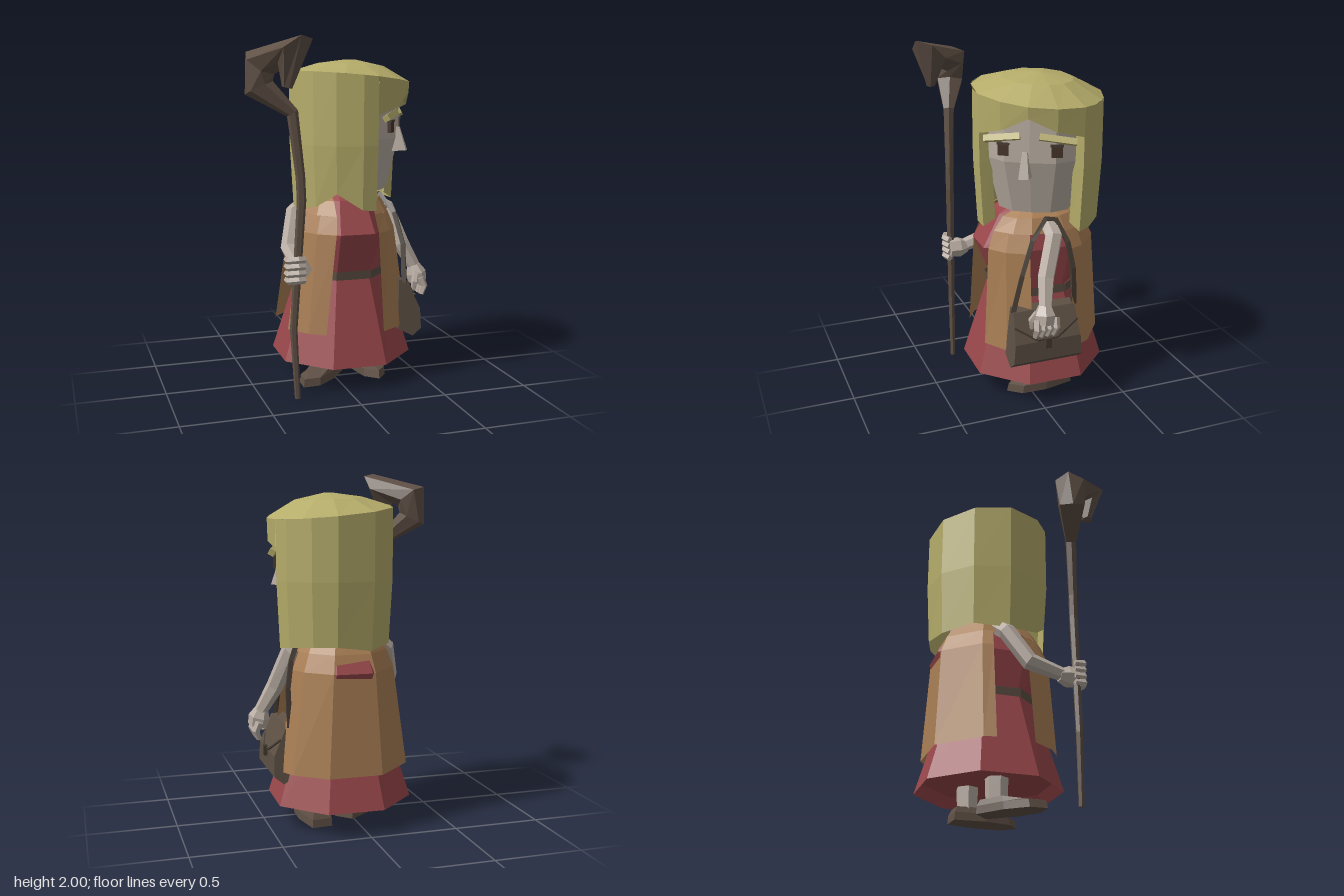
import * as THREE from 'three';

const mat = (name, color) => {
  const m = new THREE.MeshStandardMaterial({ color, side: THREE.DoubleSide });
  m.name = name;
  return m;
};
const rad = THREE.MathUtils.degToRad;
const V = (x, y, z) => new THREE.Vector3(x, y, z);

// faceted surface through cross-sections, with optional end caps
function loft(rings, { closed = true, capStart = false, capEnd = false } = {}) {
  const pos = [];
  const tri = (...pts) => pts.forEach(p => pos.push(p.x, p.y, p.z));
  const n = rings[0].length;
  for (let r = 0; r + 1 < rings.length; r++) {
    const a = rings[r], b = rings[r + 1];
    for (let i = 0; i < (closed ? n : n - 1); i++) {
      const j = (i + 1) % n;
      tri(a[i], a[j], b[j]);
      tri(a[i], b[j], b[i]);
    }
  }
  const cap = (ring, flip) => {
    const c = ring.reduce((s, p) => s.add(p), V(0, 0, 0)).divideScalar(n);
    ring.forEach((p, i) => {
      const q = ring[(i + 1) % n];
      flip ? tri(q, p, c) : tri(p, q, c);
    });
  };
  if (capStart) cap(rings[0], true);
  if (capEnd) cap(rings[rings.length - 1], false);
  const g = new THREE.BufferGeometry();
  g.setAttribute('position', new THREE.Float32BufferAttribute(pos, 3));
  g.computeVertexNormals();
  return g;
}

// tapered limb along [x, y, z, radius] points
function sweep(path, sides = 6) {
  const p = path.map(q => V(q[0], q[1], q[2]));
  let u = V(0.3, 0, 1);
  const rings = path.map((q, k) => {
    const t = V(0, 0, 0);
    if (k > 0) t.add(p[k].clone().sub(p[k - 1]).normalize());
    if (k + 1 < p.length) t.add(p[k + 1].clone().sub(p[k]).normalize());
    t.normalize();
    u = u.clone().addScaledVector(t, -u.dot(t)).normalize();
    const v = t.clone().cross(u);
    return Array.from({ length: sides }, (_, i) => {
      const a = (i / sides) * Math.PI * 2;
      return p[k].clone().addScaledVector(u, q[3] * Math.cos(a)).addScaledVector(v, q[3] * Math.sin(a));
    });
  });
  return loft(rings, { capStart: true, capEnd: true });
}

// point on an ellipse around the body axis; 0 degrees is the front
const around = (deg, y, rx, rz = rx) => V(0.07 + rx * Math.sin(rad(deg)), y, -0.09 + rz * Math.cos(rad(deg)));
const octagon = (y, rx, rz) => Array.from({ length: 8 }, (_, i) => around(21.5 + i * 45, y, rx, rz));

export function createModel() {
  const skin = mat('skin', 0xb8aca2), blond = mat('blond hair', 0xb5ac6a), red = mat('red cloth', 0x98464a);
  const tan = mat('tan cloth', 0xa97e54), wood = mat('wood', 0x5f5045), leather = mat('leather', 0x5d5044);
  const dark = mat('dark leather', 0x463c33), eyeMat = mat('eye brown', 0x46342a);

  const model = new THREE.Group();
  const add = (name, geo, material, parent = model) => {
    const m = new THREE.Mesh(geo, material);
    m.name = name;
    parent.add(m);
    return m;
  };
  const box = (name, size, at, material, parent, rot = [0, 0, 0]) => {
    const m = add(name, new THREE.BoxGeometry(...size), material, parent);
    m.position.set(...at);
    m.rotation.set(...rot);
    return m;
  };

  // dress with recessed underside, and belt
  add('skirt', loft([octagon(0.2, 0.37, 0.37), octagon(0.14, 0.415, 0.415), octagon(0.65, 0.25, 0.26)],
    { capStart: true }), red);
  add('bodice', loft([octagon(0.65, 0.24, 0.25), octagon(0.9, 0.265, 0.362), octagon(1.08, 0.2, 0.25), octagon(1.14, 0.12, 0.13)]), red);
  add('belt', loft([octagon(0.625, 0.27, 0.28), octagon(0.675, 0.27, 0.285)]), leather);
  const neck = add('neck', new THREE.CylinderGeometry(0.1, 0.1, 0.15, 8), skin);
  neck.position.set(0.09, 1.13, -0.09);

  // open coat: two front panels, a back and a shoulder yoke, with arm slits between
  const hem = [0.33, 0.395, 0.38], chest = [0.9, 0.31, 0.348], shoulder = [1.0, 0.27, 0.31];
  const strip = (angles, r) => angles.map(a => around(a, ...r));
  const open = { closed: false };
  add('coatFrontLeft', loft([strip([22, 45, 68], hem), strip([24, 45, 68], chest), strip([25, 45, 68], shoulder)], open), tan);
  add('coatFrontRight', loft([strip([-68, -45, -29], hem), strip([-68, -45, -24], chest), strip([-68, -45, -25], shoulder)], open), tan);
  const backAngles = [107, 125, 157.5, 202.5, 247.5, 258];
  add('coatBack', loft([hem, chest, shoulder].map(r => strip(backAngles, r)), open), tan);
  const yoke = a => [a, 45 + a / 5, 70, 107, 125, 157.5, 202.5, 247.5, 290, 315 - a / 5, 360 - a];
  add('coatYoke', loft([strip(yoke(25), shoulder), strip(yoke(30), [1.08, 0.225, 0.26]),
    strip(yoke(52), [1.14, 0.13, 0.14])], open), tan);

  // legs and shoes
  const outline = [[0, 0.29], [0.07, 0.22], [0.085, 0.08], [0.06, -0.09], [-0.06, -0.09], [-0.085, 0.08], [-0.07, 0.22]];
  for (const [side, x, z, yaw] of [['left', 0.22, -0.165, 4], ['right', -0.015, -0.07, -45]]) {
    const g = new THREE.Group();
    g.name = side + 'Foot';
    g.position.set(x, 0, z);
    g.rotation.y = rad(yaw);
    model.add(g);
    const ring = (y, k) => outline.map(([a, b]) => V(a * k, b > 0.2 ? Math.min(y, 0.055) : y, b * (k + 0.06)));
    add('shoe', loft([ring(0, 0.98), ring(0.045, 0.94), ring(0.08, 0.78)], { capStart: true, capEnd: true }), wood, g);
    add('leg', sweep([[0, 0.06, 0, 0.06], [0, 0.26, 0, 0.068]]), skin, g);
  }

  // arms and hands
  add('leftArm', sweep([[0.27, 1.04, -0.1, 0.05], [0.36, 0.99, -0.1, 0.052], [0.43, 0.78, -0.025, 0.05], [0.51, 0.63, 0.01, 0.038]]), skin);
  add('leftPalm', sweep([[0.5, 0.65, 0.01, 0.038], [0.515, 0.6, 0.015, 0.062], [0.525, 0.55, 0.02, 0.055]]), skin);
  for (let i = 0; i < 4; i++) {
    const z = -0.045 + i * 0.036;
    add('leftFinger', sweep([[0.525, 0.58, z, 0.024], [0.545, 0.53, z + 0.005, 0.024], [0.525, 0.48, z + 0.012, 0.016]], 5), skin);
  }
  add('leftThumb', sweep([[0.5, 0.61, 0.05, 0.022], [0.48, 0.56, 0.08, 0.02], [0.475, 0.51, 0.075, 0.014]], 5), skin);
  add('rightArm', sweep([[-0.14, 1.05, -0.1, 0.05], [-0.22, 0.99, -0.08, 0.05], [-0.28, 0.8, 0.03, 0.05], [-0.285, 0.74, 0.24, 0.038]]), skin);
  add('rightPalm', sweep([[-0.285, 0.74, 0.2, 0.038], [-0.28, 0.74, 0.25, 0.06], [-0.28, 0.74, 0.31, 0.055]]), skin);
  for (let i = 0; i < 4; i++) {
    const y = 0.68 + i * 0.038;
    add('rightFinger', sweep([[-0.27, y, 0.31, 0.022], [-0.31, y + 0.005, 0.33, 0.022], [-0.36, y, 0.315, 0.021], [-0.36, y, 0.265, 0.015]], 5), skin);
  }

  // crooked staff
  add('staff', sweep([[-0.308, 0, 0.298, 0.016], [-0.327, 0.4, 0.292, 0.021], [-0.28, 1.12, 0.3, 0.026], [-0.285, 1.25, 0.298, 0.026],
    [-0.322, 1.59, 0.282, 0.034], [-0.49, 1.725, 0.22, 0.083], [-0.483, 1.855, 0.22, 0.098],
    [-0.333, 1.92, 0.388, 0.112], [-0.375, 1.73, 0.37, 0.028]], 6), wood);

  // shoulder bag, wider at the bottom, with flap, clasp and strap
  const profile = [[0.34, 0.31], [0.43, 0.262], [0.483, 0.305], [0.48, 0.42], [0.405, 0.585], [0.35, 0.6]];
  const bagEnd = s => profile.map(([x, y]) => V(x, y, -0.025 + s * (0.235 - 0.09 * y)));
  add('bag', loft([bagEnd(-1), bagEnd(1)], { capStart: true, capEnd: true }), leather);
  const face = (y, z) => V(0.411 + (0.585 - y) * 0.455, y, z);
  const flapEdge = [[0.51, 0.165], [0.43, 0.04], [0.43, -0.08], [0.51, -0.215]];
  add('bagFlap', loft([flapEdge.map(e => face(...e)), [0.16, 0.04, -0.08, -0.21].map(z => face(0.585, z))], open), leather);
  add('flapTrim', sweep(flapEdge.map(e => [...face(...e).toArray(), 0.007]), 4), dark);
  box('bagClasp', [0.025, 0.06, 0.035], [0.487, 0.41, -0.02], dark);
  add('strap', sweep([[0.385, 0.58, 0.15, 0.02], [0.395, 0.8, 0.1, 0.018], [0.365, 0.98, 0.03, 0.018], [0.31, 1.08, -0.07, 0.018],
    [0.315, 1.07, -0.13, 0.018], [0.37, 0.95, -0.18, 0.018], [0.395, 0.8, -0.205, 0.018], [0.39, 0.58, -0.215, 0.02]], 4), dark);

  // head, turned to its left
  const head = new THREE.Group();
  head.name = 'head';
  head.position.set(0.125, 0, -0.09);
  head.rotation.y = rad(60);
  model.add(head);
  const half = [[0, 0.285], [0.14, 0.272], [0.255, 0.18], [0.29, 0], [0.2, -0.22]];
  const skull = [...half, [0, -0.28], ...half.slice(1).reverse().map(([x, z]) => [-x, z])];
  const skullRing = (y, k) => skull.map(([x, z]) => V(x * k, y, z * k));
  add('face', loft([skullRing(1.13, 0.75), skullRing(1.43, 1), skullRing(1.74, 1)], { capStart: true, capEnd: true }), skin, head);
  const nose = add('nose', loft([
    [V(-0.038, 1.35, 0.24), V(-0.028, 1.355, 0.342), V(0.028, 1.355, 0.342), V(0.038, 1.35, 0.24)],
    [V(-0.018, 1.49, 0.26), V(-0.014, 1.49, 0.3), V(0.014, 1.49, 0.3), V(0.018, 1.49, 0.26)]],
    { capStart: true, capEnd: true }), skin, head);
  nose.position.x = -0.025;
  for (const s of [-1, 1]) {
    box('eye', [0.06, 0.06, 0.02], [s * 0.144, 1.495, 0.268], eyeMat, head, [0, s * 0.15, 0]);
    box('eyelid', [0.07, 0.012, 0.026], [s * 0.144, 1.53, 0.268], dark, head, [0, s * 0.15, 0]);
    box('eyebrow', [0.2, 0.035, 0.035], [s * 0.15, 1.562, 0.268], blond, head, [-0.5, s * 0.15, -s * 0.06]);
  }

  // hair: tilted crown, fringe and long curtain open at the face
  const hp = (deg, r, y) => V(r * Math.sin(rad(deg)), y, r * Math.cos(rad(deg)));
  const rimY = deg => 1.77 + 0.36 * (-0.1 * Math.sin(rad(deg + 60)) + 0.05 * Math.cos(rad(deg + 60)));
  const rimR = deg => (Math.abs(deg) < 40 ? 0.35 : 0.365);
  const rimAngles = [-52, -26, 0, 26, 52, 82, 112, 146, 180, 214, 248, 278];
  add('crown', loft([rimAngles.map(a => hp(a, rimR(a), rimY(a))),
    rimAngles.map(a => hp(a, 0.2, 1.842 + (rimY(a) - 1.77) * 0.3)),
    rimAngles.map(a => hp(a, 0.03, 1.873))], { capEnd: true }), blond, head);
  const fringe = [[-52, 1.57], [-26, 1.61], [0, 1.685], [26, 1.61], [52, 1.57]];
  add('fringe', loft([fringe.map(([a]) => hp(a, 0.27, 1.7)), fringe.map(([a, y]) => hp(a, rimR(a) - 0.004, y)),
    fringe.map(([a]) => hp(a, rimR(a), rimY(a)))], open), blond, head);
  // columns: angle, radius, hem height; the hem rises higher over the right shoulder
  const locks = over => [[50, 0.29, 1.07], [52, 0.36, 1.03], [66, 0.365, 1.04], [90, 0.365, over], [112, 0.365, 1.05],
    [146, 0.37, 1.02], [180, 0.365, 1.04]];
  const columns = [...locks(1.05), ...locks(1.13).slice(0, -1).reverse().map(([a, r, y]) => [360 - a, r, y])];
  add('longHair', loft([
    columns.map(([a, r, y]) => hp(a, r - 0.02, y)),
    columns.map(([a, r]) => hp(a, r, 1.4)),
    columns.map(([a, r]) => hp(a, r, rimY(a)))], open), blond, head);

  return model;
}
